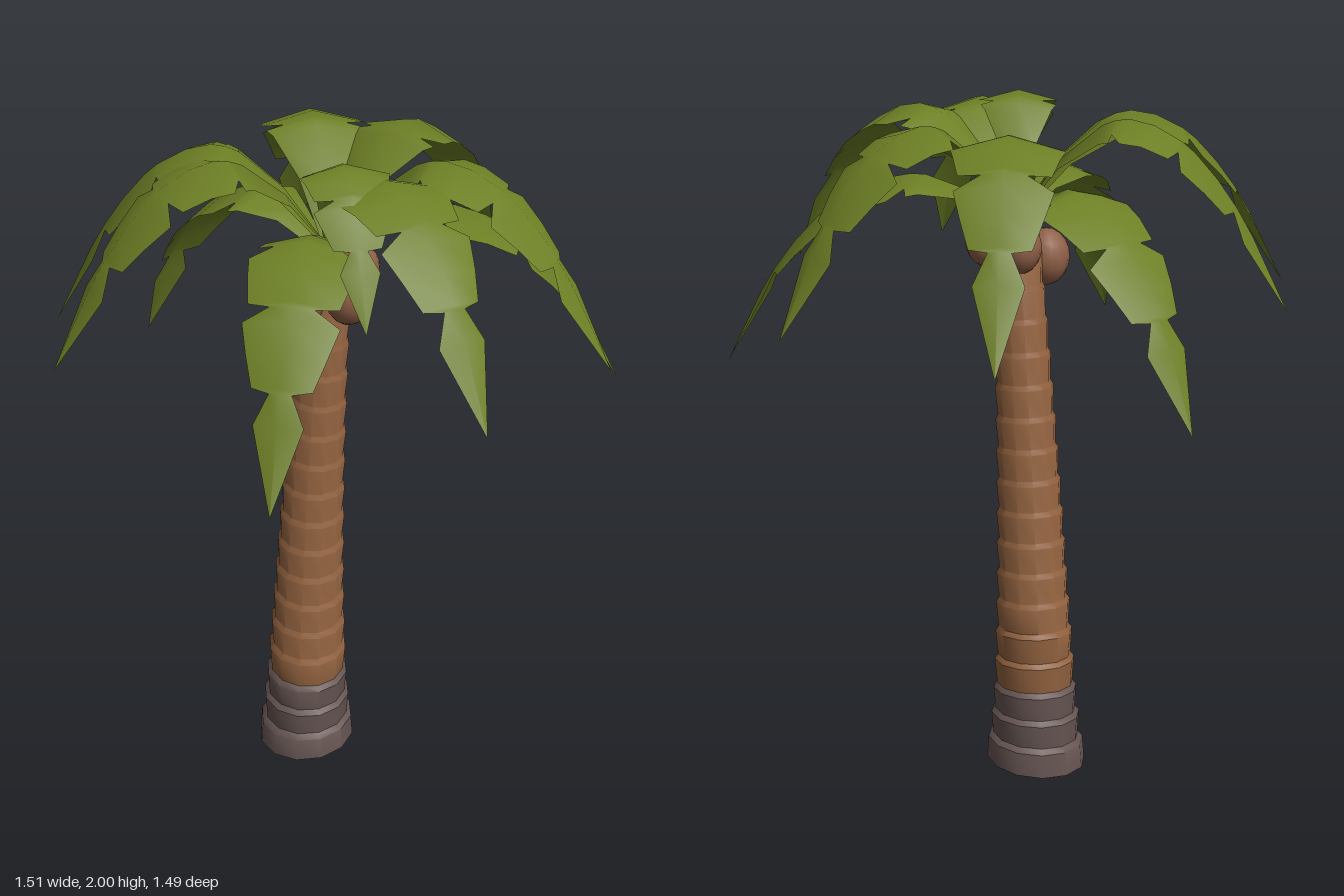
import * as THREE from 'three';
import { toCreasedNormals } from 'three/addons/utils/BufferGeometryUtils.js';

const material = (name, color, side = THREE.FrontSide) => {
  const m = new THREE.MeshStandardMaterial({ color, side });
  m.name = name;
  return m;
};

// Trunk radius, interpolated between a few heights
const RADII = [[0, 0.15], [0.1, 0.133], [0.27, 0.118], [0.6, 0.102], [1, 0.087], [1.5, 0.071], [1.69, 0.065]];
function trunkRadius(y) {
  let i = 1;
  while (i < RADII.length - 1 && y > RADII[i][0]) i++;
  const [y0, r0] = RADII[i - 1], [y1, r1] = RADII[i];
  return THREE.MathUtils.lerp(r0, r1, (y - y0) / (y1 - y0));
}

// Stacked rings, each flaring to a ledge at its top, bent along the leaning trunk
function trunkSection(from, to, rings) {
  const profile = [new THREE.Vector2(0, from)];
  const h = (to - from) / rings;
  for (let i = 0; i < rings; i++) {
    const a = from + i * h, b = a + h;
    profile.push(new THREE.Vector2(trunkRadius(a) * (a === 0 ? 1 : 0.96), a));
    profile.push(new THREE.Vector2(trunkRadius(b - 0.015) * 1.05, b - 0.015));
  }
  profile.push(new THREE.Vector2(trunkRadius(to) * 0.96, to), new THREE.Vector2(0, to));
  const geo = new THREE.LatheGeometry(profile, 12);
  const p = geo.attributes.position;
  for (let i = 0; i < p.count; i++) {
    const x = p.getX(i), y = p.getY(i), z = p.getZ(i);
    const fade = 1 - y / 1.7;
    const tilt = 0.0135 * fade - 0.09 * z * fade - 0.1 * x * Math.min(y / 0.27, 1);
    p.setXYZ(i, x - 0.122 + 0.034 * Math.pow(y, 1.8), y + tilt, z + 0.025 - 0.012 * y);
  }
  return toCreasedNormals(geo, 0.7);
}

// Midrib curves: distance from the crown, height
const RIBS = {
  upper: [[0, 1.68], [0.12, 1.85], [0.24, 1.95], [0.33, 1.97], [0.47, 1.91], [0.62, 1.74], [0.77, 1.46]],
  lower: [[0, 1.66], [0.12, 1.76], [0.22, 1.8], [0.32, 1.785], [0.46, 1.7], [0.6, 1.52], [0.73, 1.24]],
  small: [[0, 1.68], [0.1, 1.87], [0.18, 1.97], [0.26, 2.0], [0.36, 1.95], [0.45, 1.84], [0.55, 1.655]],
};
// Leaf outline: position along the midrib, half width
const OUTLINE = [
  [0, 0.012], [1, 0.065], [2, 0.122], [2.35, 0.138], [2.42, 0.09], [2.85, 0.15], [3.4, 0.138], [3.93, 0.12],
  [4, 0.06], [4.2, 0.128], [4.6, 0.105], [4.95, 0.08], [5, 0.03], [5.28, 0.066], [6, 0.001],
];

// Frond along +x: a slightly roofed strip with notched edges
function frondGeometry(rib, length, width) {
  const last = rib[rib.length - 1][0];
  const curve = new THREE.CatmullRomCurve3(
    rib.map(([d, y]) => new THREE.Vector3(d * length / last, y, 0)));
  const pos = [], index = [];
  OUTLINE.forEach(([u, hw], i) => {
    const c = curve.getPoint(u / 6);
    const t = curve.getTangent(u / 6);
    const w = hw * width, drop = 0.27 * w;
    for (const s of [-1, 0, 1]) {
      const k = Math.abs(s) * drop;
      pos.push(c.x + t.y * k, c.y - t.x * k, s * w);
    }
    if (i === 0) return;
    const a = (i - 1) * 3, b = i * 3;
    for (const j of [0, 1]) {
      index.push(a + j, a + j + 1, b + j, a + j + 1, b + j + 1, b + j);
    }
  });
  const geo = new THREE.BufferGeometry();
  geo.setAttribute('position', new THREE.Float32BufferAttribute(pos, 3));
  geo.setIndex(index);
  geo.computeVertexNormals();
  return geo;
}

export function createModel() {
  const palm = new THREE.Group();
  palm.name = 'palmTree';
  const bark = material('brownBark', 0x92623f);
  const root = material('greyBark', 0x665552);
  const shell = material('coconutShell', 0x8f6047);
  const leaf = material('leafGreen', 0x6d7f25, THREE.DoubleSide);

  const add = (name, geo, mat) => {
    const mesh = new THREE.Mesh(geo, mat);
    mesh.name = name;
    palm.add(mesh);
    return mesh;
  };

  // Trunk
  add('trunkBase', trunkSection(0, 0.26, 3), root);
  add('trunk', trunkSection(0.26, 1.69, 15), bark);

  // Coconuts under the crown: centre, radius
  const nut = new THREE.SphereGeometry(1, 14, 10);
  [[-0.04, 1.56, 0.115, 0.067], [0.066, 1.57, 0.04, 0.067],
    [-0.095, 1.615, -0.02, 0.06], [0.03, 1.615, -0.045, 0.06]].forEach(([x, y, z, r]) => {
    const mesh = add('coconut', nut, shell);
    mesh.position.set(x, y, z);
    mesh.scale.set(r, r * 1.22, r);
  });

  // Fronds: tip x, tip z, midrib type
  const cx = -0.03, cz = 0.015;
  [
    [-0.02, -0.75, 'upper'], [0.75, -0.23, 'upper'], [0.74, 0.3, 'upper'],
    [-0.36, 0.74, 'upper'], [-0.62, 0.5, 'upper'], [-0.62, -0.5, 'upper'],
    [0.55, -0.6, 'lower'], [0.34, 0.66, 'lower'], [-0.76, 0.03, 'lower'],
    [0.4, 0.36, 'small'],
  ].forEach(([x, z, type]) => {
    const dx = x - cx, dz = z - cz;
    const geo = frondGeometry(RIBS[type], Math.hypot(dx, dz), type === 'small' ? 0.78 : 1);
    const mesh = add(type + 'Frond', geo, leaf);
    mesh.position.set(cx, 0, cz);
    mesh.rotation.y = Math.atan2(-dz, dx);
  });

  return palm;
}
